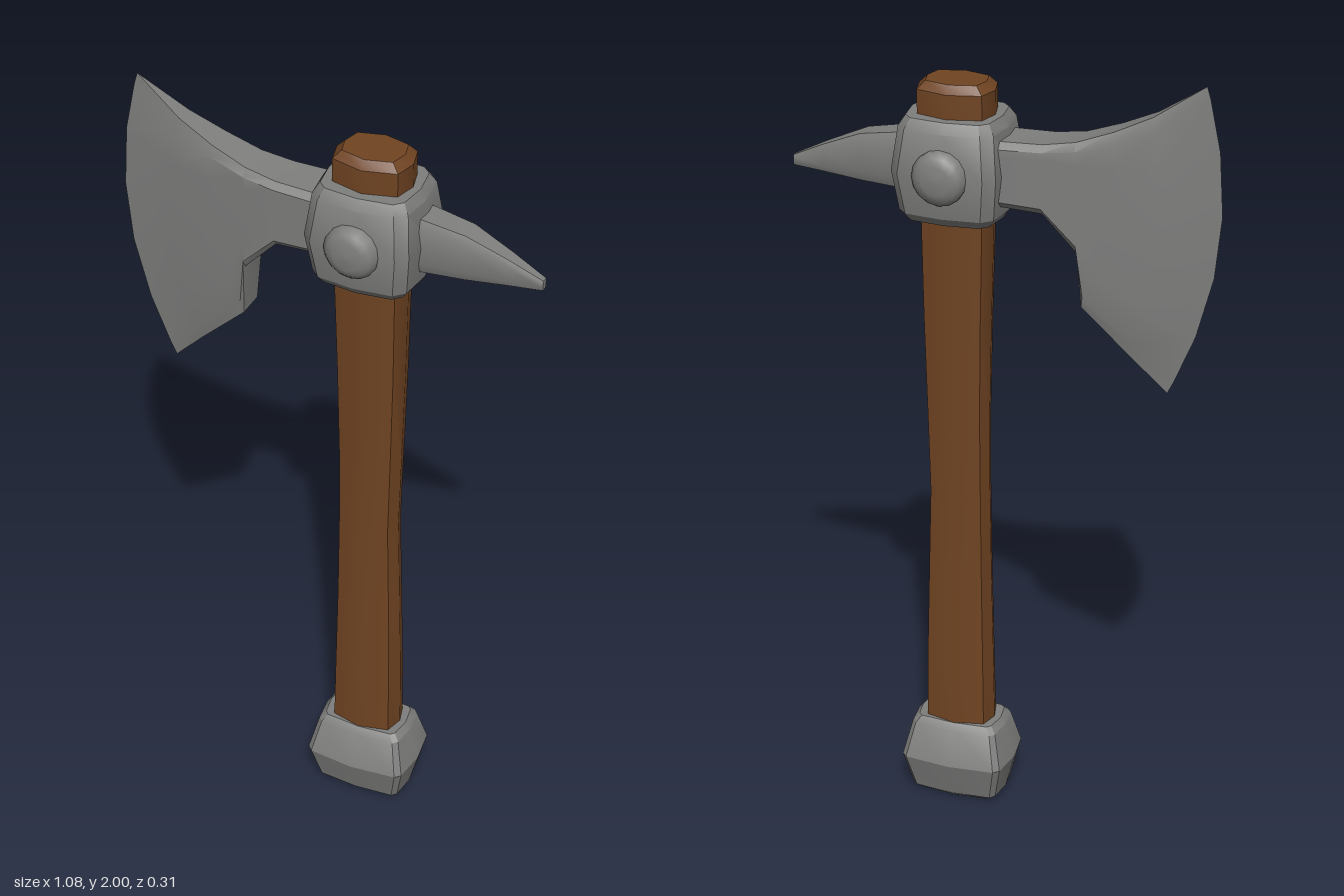
import * as THREE from 'three';
import { toCreasedNormals } from 'three/addons/utils/BufferGeometryUtils.js';

const CX = 0.11; // axis of the handle

// Skins a list of equal-length closed rings, caps both ends, faces outward.
function loft(rings, crease = 0.55) {
  const n = rings[0].length;
  const pts = rings.flat();
  let tris = [];
  for (let i = 0; i < rings.length - 1; i++) {
    for (let j = 0; j < n; j++) {
      const a = i * n + j, b = i * n + (j + 1) % n;
      tris.push([a, b, b + n], [a, b + n, a + n]);
    }
  }
  const last = (rings.length - 1) * n;
  const centre = (ring) => ring.reduce((s, p) => s.add(p), new THREE.Vector3()).divideScalar(n);
  const c0 = pts.push(centre(rings[0])) - 1;
  const c1 = pts.push(centre(rings[rings.length - 1])) - 1;
  for (let j = 0; j < n; j++) {
    const k = (j + 1) % n;
    tris.push([c0, k, j], [c1, last + j, last + k]);
  }
  const cross = new THREE.Vector3();
  const volume = tris.reduce((s, [a, b, c]) => s + pts[a].dot(cross.crossVectors(pts[b], pts[c])), 0);
  if (volume < 0) tris = tris.map(([a, b, c]) => [a, c, b]);
  const geo = new THREE.BufferGeometry().setFromPoints(pts);
  geo.setIndex(tris.flat());
  return toCreasedNormals(geo, crease);
}

// Horizontal octagon for the handle, with gently bowed sides.
function handleRing(y, x0, x1, hz) {
  const c = (x0 + x1) / 2, h = (x1 - x0) / 2;
  return [[1, 0], [0.85, 0.72], [0, 1], [-0.85, 0.72], [-1, 0], [-0.85, -0.72], [0, -1], [0.85, -0.72]]
    .map(([x, z]) => new THREE.Vector3(c + x * h, y, z * hz));
}

// Horizontal rectangle with cut corners and slightly bowed sides.
function blockRing(y, hx, hz, cut, bow) {
  const ring = [];
  const quarter = [[hx, 0], [hx - bow, hz - bow - cut], [hx - bow - cut, hz - bow], [0, hz]];
  for (const [sx, sz] of [[1, 1], [-1, 1], [-1, -1], [1, -1]]) {
    const q = sx * sz > 0 ? quarter.slice(0, 3) : quarter.slice(1).reverse();
    q.forEach(([x, z]) => ring.push(new THREE.Vector3(CX + sx * x, y, sz * z)));
  }
  return ring;
}

export function createModel() {
  const group = new THREE.Group();
  const metal = new THREE.MeshStandardMaterial({ color: 0x7f7f7e });
  metal.name = 'grey metal';
  const wood = new THREE.MeshStandardMaterial({ color: 0x704422 });
  wood.name = 'brown wood';
  const add = (name, geo, material) => {
    const mesh = new THREE.Mesh(geo, material);
    mesh.name = name;
    group.add(mesh);
    return mesh;
  };

  // Handle, slimmer around the middle
  add('handle', loft([
    [0.15, 0.018, 0.202, 0.068], [0.4, 0.022, 0.2, 0.063], [0.65, 0.027, 0.193, 0.058],
    [0.88, 0.03, 0.186, 0.056], [1.1, 0.03, 0.191, 0.059], [1.35, 0.025, 0.197, 0.064],
    [1.6, 0.018, 0.2, 0.07], [1.87, 0.014, 0.206, 0.077], [1.935, 0.014, 0.206, 0.077],
    [1.955, 0.035, 0.185, 0.06],
  ].map((r) => handleRing(...r))), wood);

  // Pommel at the foot
  add('pommel', loft([
    [0, 0.105, 0.066, 0.01, 0.008], [0.015, 0.122, 0.082, 0.012, 0.008],
    [0.112, 0.147, 0.112, 0.014, 0.012],
    [0.205, 0.122, 0.082, 0.012, 0.008], [0.222, 0.108, 0.068, 0.01, 0.008],
  ].map((r) => blockRing(...r)), 0.45), metal);

  // Head block around the handle
  add('headBlock', loft([
    [1.618, 0.115, 0.1, 0.02, 0.01], [1.64, 0.13, 0.117, 0.025, 0.01],
    [1.745, 0.142, 0.136, 0.025, 0.01],
    [1.85, 0.13, 0.117, 0.025, 0.01], [1.875, 0.115, 0.1, 0.02, 0.01],
  ].map((r) => blockRing(...r)), 0.45), metal);

  // Domed rivets on both cheeks
  const profile = [[0, 0.157], [0.035, 0.155], [0.055, 0.147], [0.068, 0.133], [0.068, 0.11]]
    .reverse().map(([r, y]) => new THREE.Vector2(r, y));
  const rivetGeo = new THREE.LatheGeometry(profile, 16);
  for (const side of [1, -1]) {
    const rivet = add(side > 0 ? 'frontRivet' : 'backRivet', rivetGeo, metal);
    rivet.position.set(CX, 1.747, 0);
    rivet.rotation.x = side * Math.PI / 2;
  }

  // Bearded blade: columns from the root to the cutting edge
  // [top x, top y, bottom x, bottom y, half thickness, forward bow]
  const columns = [
    [0.02, 1.828, 0.02, 1.668, 0.07, 0], [-0.12, 1.832, -0.12, 1.66, 0.064, 0],
    [-0.2, 1.845, -0.205, 1.57, 0.056, 0], [-0.29, 1.878, -0.215, 1.43, 0.046, 0.02],
    [-0.38, 1.92, -0.34, 1.31, 0.03, 0.05], [-0.5, 2, -0.425, 1.22, 0, 0.08],
  ];
  const steps = [0, 0.2, 0.4, 0.6, 0.8, 1];
  add('blade', loft(columns.map(([tx, ty, bx, by, th, bow]) => {
    const point = (t, side) => {
      const rim = t === 0 || t === 1;
      const inset = rim || th === 0 ? 0 : 0.012 * (t < 0.5 ? 1 : -1) * Math.max(0, 1 - 5 * Math.min(t, 1 - t));
      return new THREE.Vector3(
        THREE.MathUtils.lerp(tx, bx, t) - bow * 4 * t * (1 - t),
        THREE.MathUtils.lerp(ty, by, t) - inset,
        side * th * (rim ? 0.78 : 1));
    };
    // narrow bevel just inside the upper and lower rims
    const list = th > 0 ? [0, 0.04, 0.2, 0.4, 0.6, 0.8, 0.96, 1] : [0, 0.04, ...steps.slice(1, 5), 0.96, 1];
    return [...list.map((t) => point(t, 1)), ...list.reverse().map((t) => point(t, -1))];
  })), metal);

  // Back spike, tapering and drooping: [x, top, bottom, half thickness]
  add('backSpike', loft([
    [0.2, 1.82, 1.672, 0.048], [0.25, 1.815, 1.675, 0.045], [0.35, 1.798, 1.68, 0.038],
    [0.45, 1.756, 1.686, 0.023], [0.535, 1.716, 1.69, 0.01],
  ].map(([x, t, b, w]) => {
    const h = t - b;
    const half = [[t, 0.75], [t - 0.2 * h, 1], [b + 0.2 * h, 1], [b, 0.75]];
    return [...half.map(([y, k]) => new THREE.Vector3(x, y, k * w)),
      ...half.reverse().map(([y, k]) => new THREE.Vector3(x, y, -k * w))];
  })), metal);

  return group;
}
